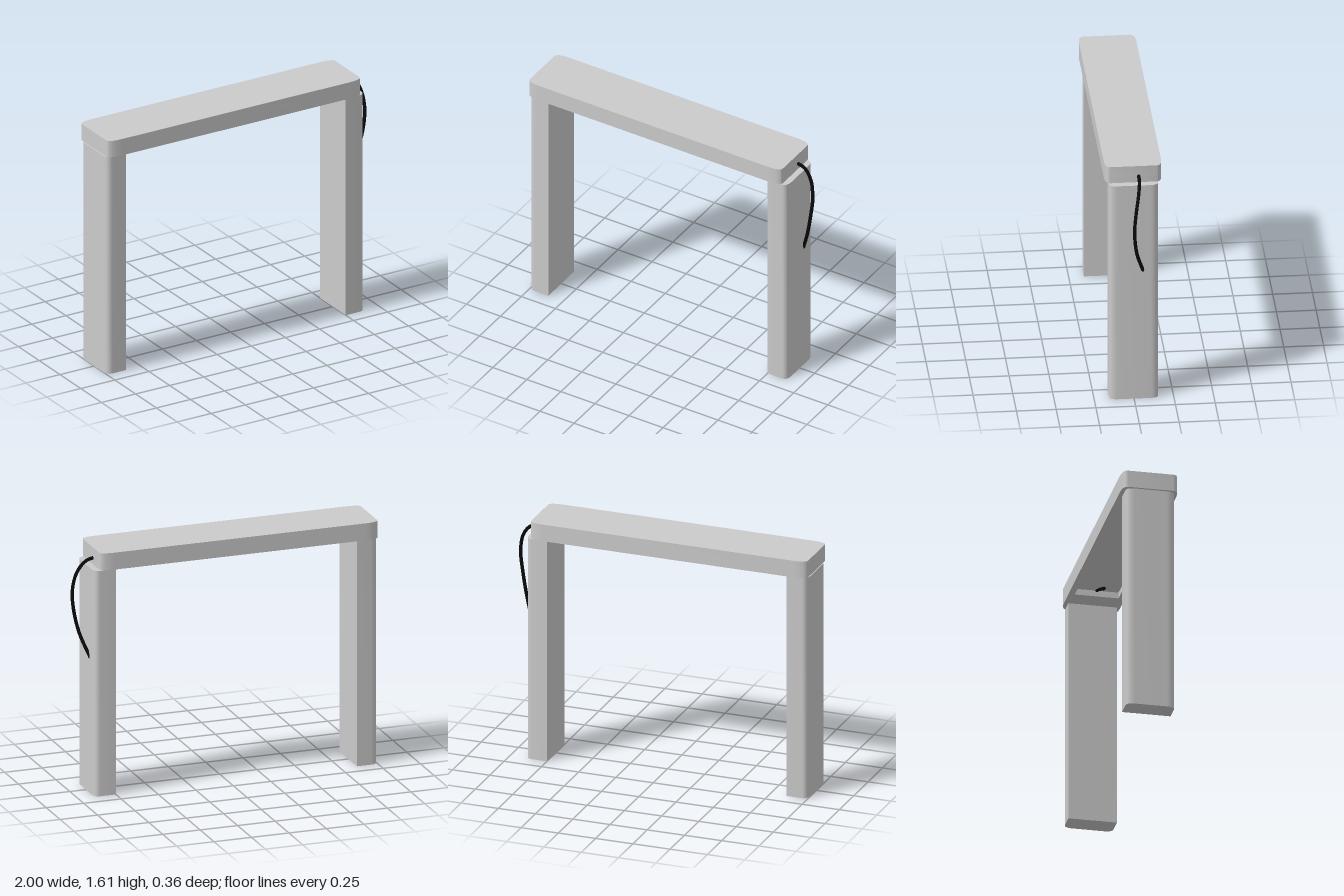
import * as THREE from 'three';
import { toCreasedNormals } from 'three/addons/utils/BufferGeometryUtils.js';

const grey = new THREE.MeshStandardMaterial({ color: 0xcccccc });
const black = new THREE.MeshStandardMaterial({ color: 0x0a0a0a });

// Plan outline from x0 to x1, half depth hz, with soft corners (cx long, cz deep) at either end
function plan(x0, x1, hz, left, right) {
  const s = new THREE.Shape();
  const [lx, lz] = left, [rx, rz] = right;
  s.moveTo(x0 + lx, -hz);
  s.lineTo(x1 - rx, -hz);
  if (rx) s.quadraticCurveTo(x1, -hz, x1, -hz + rz);
  s.lineTo(x1, hz - rz);
  if (rx) s.quadraticCurveTo(x1, hz, x1 - rx, hz);
  s.lineTo(x0 + lx, hz);
  if (lx) s.quadraticCurveTo(x0, hz, x0, hz - lz);
  s.lineTo(x0, -hz + lz);
  if (lx) s.quadraticCurveTo(x0, -hz, x0 + lx, -hz);
  return s;
}

// Raise a plan outline from y0 to y1
function slab(name, shape, y0, y1) {
  const raw = new THREE.ExtrudeGeometry(shape, { depth: y1 - y0, bevelEnabled: false, curveSegments: 16 });
  raw.rotateX(-Math.PI / 2).translate(0, y0, 0);
  const mesh = new THREE.Mesh(toCreasedNormals(raw, 0.35), grey);
  mesh.name = name;
  return mesh;
}

export function createModel() {
  const model = new THREE.Group();
  model.name = 'archLamp';

  // Legs, rounded on their outer corners
  const none = [0, 0], legCorner = [0.04, 0.055];
  model.add(slab('rightLeg', plan(-1, -0.86, 0.155, legCorner, none), 0, 1.486));
  model.add(slab('leftLeg', plan(0.75, 0.892, 0.155, none, legCorner), 0, 1.486));

  // Beam: solid top over a rim that frames the shallow recess underneath
  const corner = [0.1, 0.035];
  const beam = new THREE.Group();
  beam.name = 'beam';
  const rim = plan(-1, 0.858, 0.18, corner, corner);
  rim.holes.push(new THREE.Path([[-0.76, -0.14], [-0.76, 0.14], [0.63, 0.14], [0.63, -0.14]]
    .map(([x, z]) => new THREE.Vector2(x, z))));
  beam.add(slab('beamRim', rim, 1.493, 1.533));
  beam.add(slab('beamTop', plan(-1, 0.858, 0.18, corner, corner), 1.533, 1.605));
  model.add(beam);

  // Power cable: from the recess, out of the beam end and down into the leg
  const path = new THREE.CatmullRomCurve3([
    [0.55, 1.515, 0.03], [0.63, 1.535, 0.0], [0.75, 1.54, -0.03], [0.86, 1.535, -0.032],
    [0.91, 1.517, -0.032], [0.96, 1.45, -0.022], [0.984, 1.33, -0.004], [0.974, 1.2, 0.004],
    [0.94, 1.04, -0.012], [0.886, 0.893, -0.055],
  ].map(p => new THREE.Vector3(...p)));
  const cable = new THREE.Mesh(new THREE.TubeGeometry(path, 80, 0.011, 10), black);
  cable.name = 'powerCable';
  model.add(cable);

  // Rounded cable ends
  [0, 1].forEach(t => {
    const cap = new THREE.Mesh(new THREE.SphereGeometry(0.011, 10, 8), black);
    cap.position.copy(path.getPoint(t));
    cap.name = 'cableEnd';
    model.add(cap);
  });

  return model;
}
